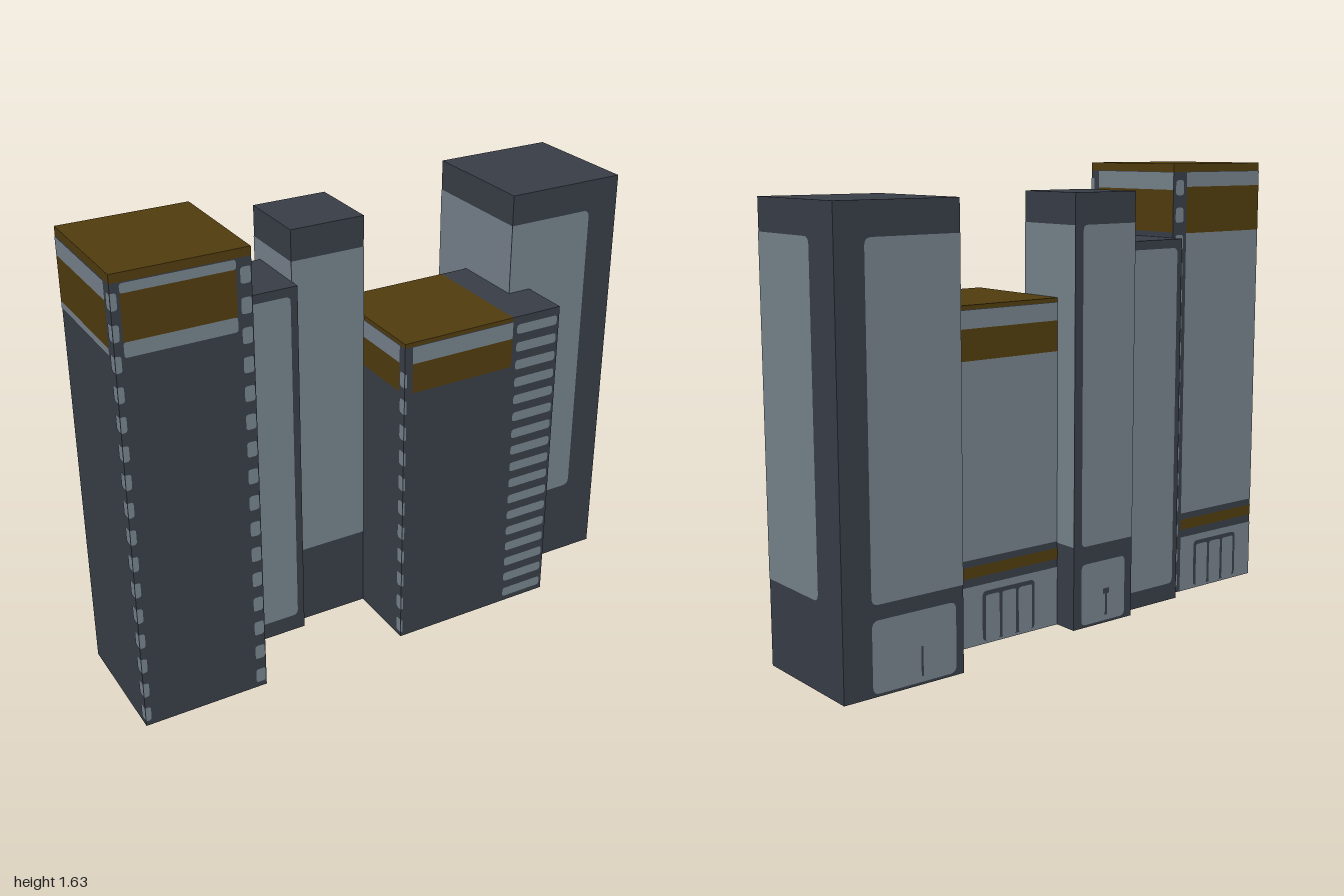
import * as THREE from 'three';

const mat = (name, color) => Object.assign(new THREE.MeshStandardMaterial({ color }), { name });
const dark = mat('dark slate', 0x383d46);
const grey = mat('grey glass', 0x75818a);
const gold = mat('bronze gold', 0x503b0e);

// Rectangle with separate corner radii at its a0 and a1 ends; s mirrors it for back and right walls
function rectShape(s, a0, a1, y0, y1, r0, r1) {
  let [l, r, rl, rr] = s > 0 ? [a0, a1, r0, r1] : [-a1, -a0, r1, r0];
  const p = new THREE.Shape();
  p.moveTo(l + rl, y0);
  p.lineTo(r - rr, y0);
  if (rr) p.quadraticCurveTo(r, y0, r, y0 + rr);
  p.lineTo(r, y1 - rr);
  if (rr) p.quadraticCurveTo(r, y1, r - rr, y1);
  p.lineTo(l + rl, y1);
  if (rl) p.quadraticCurveTo(l, y1, l, y1 - rl);
  p.lineTo(l, y0 + rl);
  if (rl) p.quadraticCurveTo(l, y0, l + rl, y0);
  return p;
}

function box(g, name, m, x0, x1, y0, y1, z0, z1) {
  const mesh = new THREE.Mesh(new THREE.BoxGeometry(x1 - x0, y1 - y0, z1 - z0), m);
  mesh.position.set((x0 + x1) / 2, (y0 + y1) / 2, (z0 + z1) / 2);
  mesh.name = name;
  g.add(mesh);
}

const SIDES = {
  front: { s: 1, rot: 0, axis: 'z', end: 'z1', out: 1, span: ['x0', 'x1'] },
  back: { s: -1, rot: Math.PI, axis: 'z', end: 'z0', out: -1, span: ['x0', 'x1'] },
  right: { s: -1, rot: Math.PI / 2, axis: 'x', end: 'x1', out: 1, span: ['z0', 'z1'] },
  left: { s: 1, rot: -Math.PI / 2, axis: 'x', end: 'x0', out: -1, span: ['z0', 'z1'] },
};

// Thin painted areas on one wall; each rect is [a0, a1, y0, y1] along the wall
function paint(g, b, name, m, side, rects, r = 0, layer = 1) {
  const d = SIDES[side];
  const atEdge = (a, k) => Math.abs(a - b[d.span[k]]) < 0.003;
  const shapes = rects.map(([a0, a1, y0, y1]) =>
    rectShape(d.s, a0, a1, y0, y1, atEdge(a0, 0) ? 0 : r, atEdge(a1, 1) ? 0 : r));
  const mesh = new THREE.Mesh(new THREE.ShapeGeometry(shapes, 4), m);
  mesh.rotation.y = d.rot;
  mesh.position[d.axis] = b[d.end] + d.out * 0.0015 * layer;
  mesh.name = name;
  g.add(mesh);
}

// Vertical series of equal rects
const column = (a0, a1, n, start, pitch, h) =>
  Array.from({ length: n }, (_, i) => [a0, a1, start + i * pitch, start + i * pitch + h]);

// Grey lobby wall with a framed three-pane door
function entrance(g, b, a0, a1, mid) {
  paint(g, b, 'lobbyWall', grey, 'back', [[a0, a1, 0, 0.215]]);
  paint(g, b, 'lobbyStripe', gold, 'back', [[a0, a1, 0.245, 0.285]]);
  paint(g, b, 'doorFrame', dark, 'back', [[mid - 0.115, mid + 0.115, 0.01, 0.19]], 0.02, 2);
  paint(g, b, 'doorPanes', grey, 'back',
    [-1, 0, 1].map(i => [mid + i * 0.072 - 0.03, mid + i * 0.072 + 0.03, 0.01, 0.175]), 0.01, 3);
}

function building(root, name, b) {
  const g = new THREE.Group();
  g.name = name;
  root.add(g);
  return g;
}

export function createModel() {
  const root = new THREE.Group();
  root.name = 'towerBlocks';

  // Tall tower with a gold roof
  const A = { x0: -1, x1: -0.548, z0: -0.137, z1: 0.317 };
  const a = building(root, 'tallGoldTower');
  box(a, 'walls', dark, A.x0, A.x1, 0, 1.605, A.z0, A.z1);
  box(a, 'roof', gold, A.x0, A.x1, 1.605, 1.635, A.z0, A.z1);
  paint(a, A, 'frontBands', grey, 'front', [[-0.97, -0.6, 1.57, 1.602], [-0.97, -0.6, 1.365, 1.415]], 0.01);
  paint(a, A, 'frontSign', gold, 'front', [[-0.97, -0.6, 1.415, 1.57]]);
  for (const side of ['left', 'right']) {
    paint(a, A, 'sideBand', grey, side, [[A.z0, 0.275, 1.54, 1.603]]);
    paint(a, A, 'sideSign', gold, side, [[A.z0, 0.275, 1.385, 1.54]]);
  }
  paint(a, A, 'leftLowerBand', grey, 'left', [[A.z0, 0.275, 1.36, 1.385]]);
  paint(a, A, 'backGlass', grey, 'back', [[A.x0, -0.615, 1.55, 1.603], [A.x0, -0.615, 0.31, 1.38]]);
  paint(a, A, 'backSign', gold, 'back', [[A.x0, -0.615, 1.38, 1.55]]);
  entrance(a, A, A.x0, -0.615, -0.8);
  const dots = (a0, a1) => column(a0, a1, 16, 0.02, 0.1, 0.055);
  paint(a, A, 'frontWindows', grey, 'front', [...dots(-0.587, -0.552), ...dots(A.x0, -0.98)], 0.01);
  paint(a, A, 'leftWindows', grey, 'left', dots(0.285, A.z1), 0.01);
  paint(a, A, 'rightWindows', grey, 'right', dots(0.3, A.z1), 0.006);
  paint(a, A, 'backWindows', grey, 'back', dots(-0.6, -0.56), 0.012);

  // Low slim block
  const B = { x0: -0.548, x1: -0.275, z0: -0.185, z1: 0.085 };
  const bg = building(root, 'slimBlock');
  box(bg, 'walls', dark, B.x0, B.x1, 0, 1.365, B.z0, B.z1);
  paint(bg, B, 'frontGlass', grey, 'front', [[B.x0, -0.302, 0.065, 1.333]], 0.02);
  paint(bg, B, 'backGlass', grey, 'back', [[-0.525, B.x1, 0.065, 1.333]], 0.02);

  // Slim tower glazed on all sides
  const C = { x0: -0.275, x1: 0, z0: -0.23, z1: 0.043 };
  const c = building(root, 'slimTower');
  box(c, 'walls', dark, C.x0, C.x1, 0, 1.545, C.z0, C.z1);
  paint(c, C, 'frontGlass', grey, 'front', [[C.x0, C.x1, 0.305, 1.435]]);
  for (const side of ['left', 'right'])
    paint(c, C, 'sideGlass', grey, side, [[C.z0, C.z1, 0.305, 1.435]]);
  paint(c, C, 'backGlass', grey, 'back', [[C.x0, -0.035, 0.3, 1.435], [-0.24, -0.035, 0.01, 0.235]], 0.02);
  paint(c, C, 'doorHandle', dark, 'back', [[-0.155, -0.145, 0.03, 0.12], [-0.165, -0.135, 0.11, 0.13]], 0, 2);

  // Low gold-roofed block with a barred corner
  const D = { x0: 0, x1: 0.632, z0: -0.137, z1: 0.317 };
  const d = building(root, 'lowGoldBlock');
  box(d, 'walls', dark, D.x0, 0.435, 0, 1.167, D.z0, D.z1);
  box(d, 'roof', gold, D.x0, 0.435, 1.167, 1.182, D.z0, D.z1);
  box(d, 'cornerTower', dark, 0.435, D.x1, 0, 1.182, D.z0, D.z1);
  for (const [side, lo, hi] of [['front', 0.03, 0.435], ['left', D.z0, 0.285], ['back', D.x0, 0.435]]) {
    paint(d, D, side + 'Band', grey, side, [[lo, hi, 1.103, 1.165]]);
    paint(d, D, side + 'Sign', gold, side, [[lo, hi, 0.995, 1.103]]);
  }
  paint(d, D, 'backGlass', grey, 'back', [[D.x0, 0.435, 0.31, 0.995]]);
  entrance(d, D, D.x0, 0.435, 0.22);
  const bars = (a0, a1) => column(a0, a1, 17, 0.02, 0.0685, 0.036);
  paint(d, D, 'frontBars', grey, 'front', bars(0.452, 0.622), 0.012);
  paint(d, D, 'backBars', grey, 'back', bars(0.455, 0.622), 0.012);
  paint(d, D, 'rightBars', grey, 'right', bars(D.z0, 0.307), 0.012);
  paint(d, D, 'frontEdgeWindows', grey, 'front', column(D.x0, 0.008, 11, 0.02, 0.1, 0.05));
  paint(d, D, 'leftWindows', grey, 'left', column(0.29, D.z1, 11, 0.02, 0.1, 0.055), 0.01);

  // Wide dark tower
  const E = { x0: 0.545, x1: 1, z0: -0.318, z1: 0.135 };
  const e = building(root, 'wideTower');
  box(e, 'walls', dark, E.x0, E.x1, 0, 1.545, E.z0, E.z1);
  paint(e, E, 'frontGlass', grey, 'front', [[E.x0, 0.878, 0.298, 1.435]], 0.025);
  paint(e, E, 'rightGlass', grey, 'right', [[-0.178, E.z1, 0.3, 1.435]], 0.025);
  paint(e, E, 'leftGlass', grey, 'left', [[E.z0, E.z1, 0.305, 1.435]]);
  paint(e, E, 'backGlass', grey, 'back', [[E.x0, 0.895, 0.3, 1.435], [0.575, 0.895, 0.01, 0.25]], 0.025);
  paint(e, E, 'doorHandle', dark, 'back', [[0.705, 0.713, 0.03, 0.13]], 0, 2);

  return root;
}
